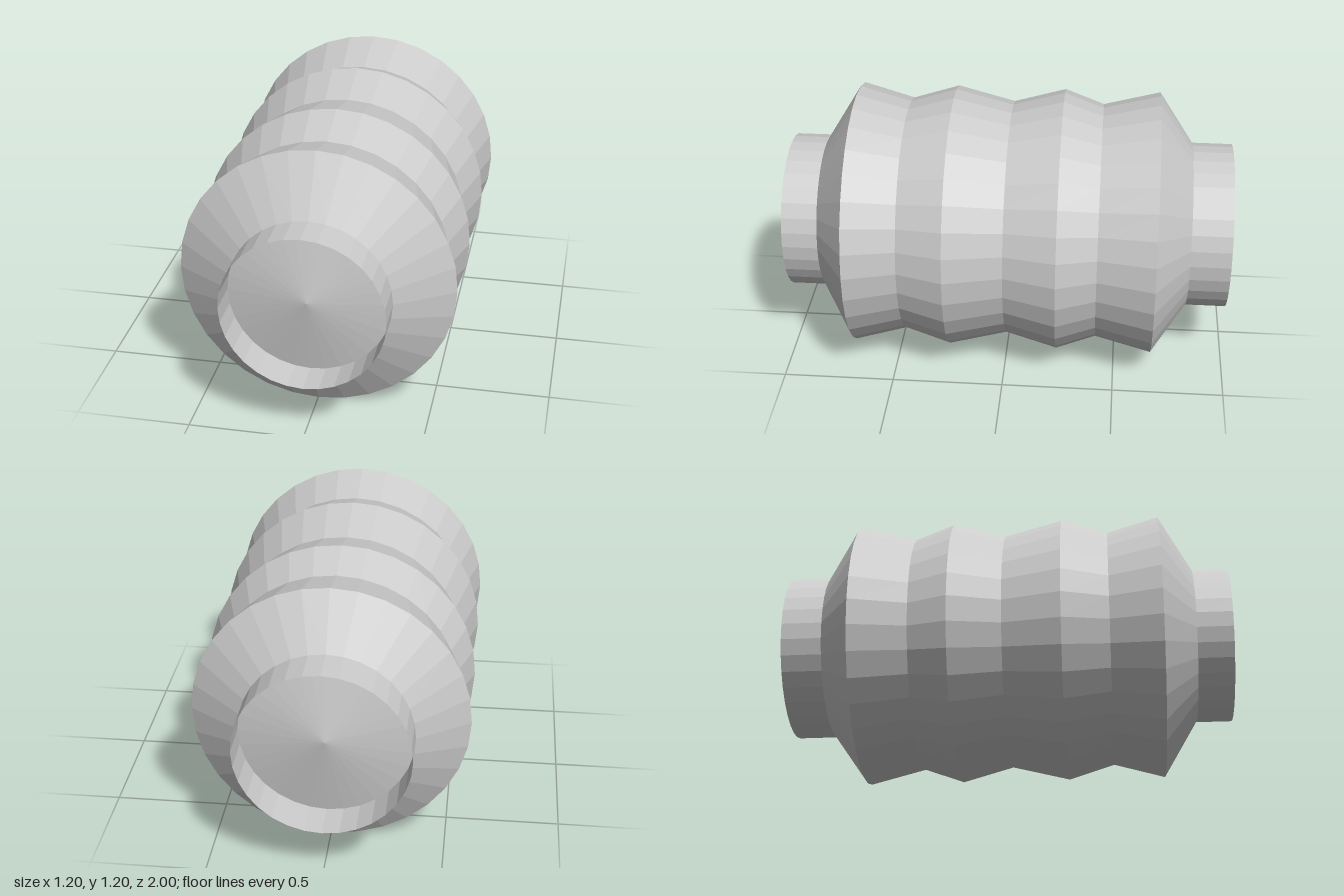
import * as THREE from 'three';

const SIDES = 32;
const CENTRE_Y = 0.5975;

// Surface of revolution around the z axis from [radius, z] points, ordered back to front
function turned(name, profile, material) {
  const points = profile.map(([r, z]) => new THREE.Vector2(r, z));
  const geometry = new THREE.LatheGeometry(points, SIDES);
  geometry.rotateX(Math.PI / 2);
  const mesh = new THREE.Mesh(geometry, material);
  mesh.name = name;
  mesh.position.y = CENTRE_Y;
  return mesh;
}

export function createModel() {
  const group = new THREE.Group();
  group.name = 'bellows';
  const grey = new THREE.MeshStandardMaterial({
    color: 0xcccccc, flatShading: true, side: THREE.DoubleSide,
  });

  const ridge = 0.5975, valley = 0.535, backR = 0.373, frontR = 0.35;

  // Pleated body with tapered shoulders
  group.add(turned('pleatedBody', [
    [backR, -0.82], [ridge, -0.667], [valley, -0.413], [ridge, -0.237], [valley, -0.005],
    [ridge, 0.253], [valley, 0.46], [ridge, 0.69], [frontR, 0.84],
  ], grey));

  // Open, thin-walled collars at both ends
  group.add(turned('backCollar', [[backR, -1], [backR, -0.82]], grey));
  group.add(turned('frontCollar', [[frontR, 0.84], [frontR, 1]], grey));

  // Shallow conical caps recessed inside the collars
  group.add(turned('backCap', [[0, -0.89], [backR, -0.82]], grey));
  group.add(turned('frontCap', [[frontR, 0.84], [0, 0.9]], grey));

  return group;
}
